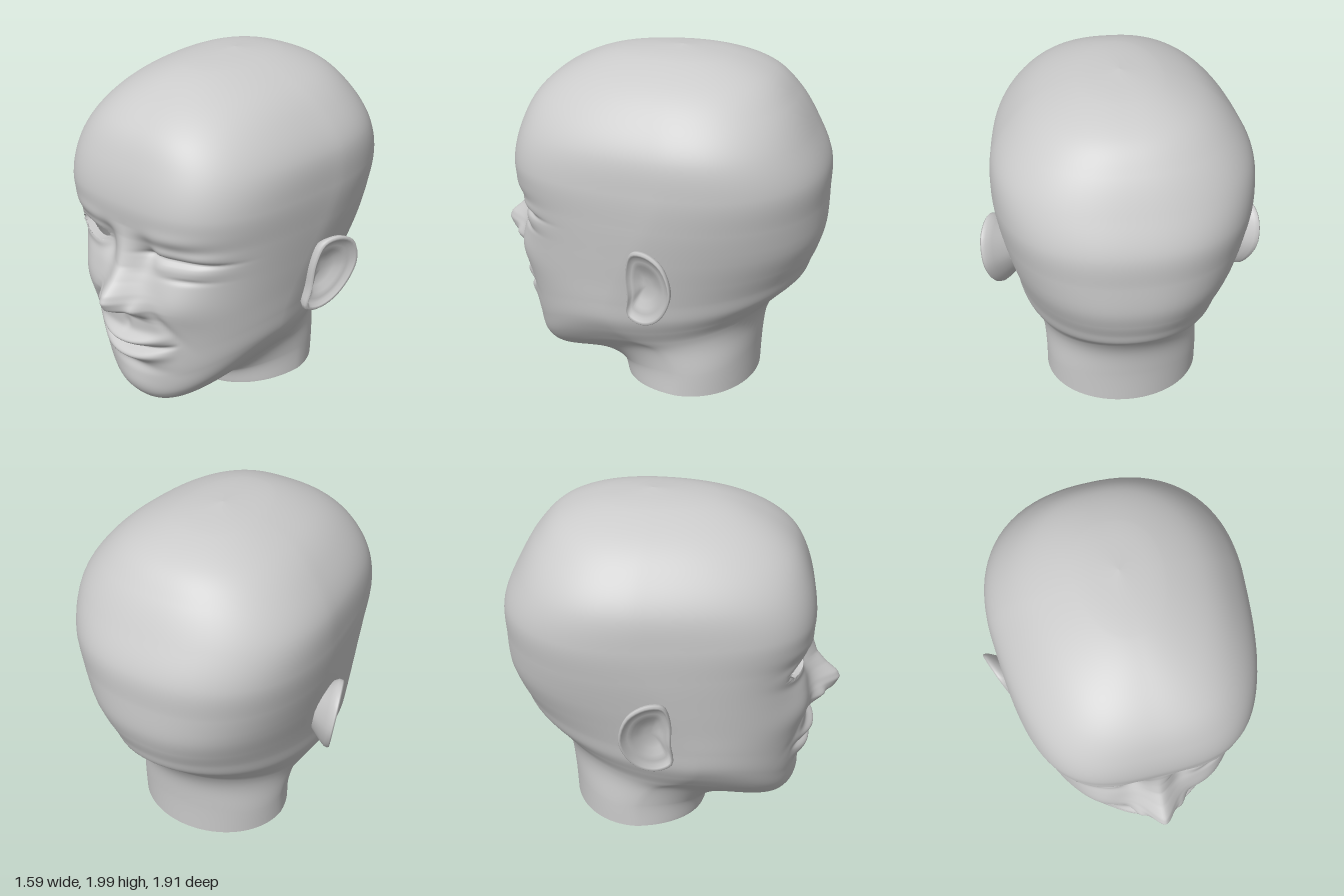
import * as THREE from 'three';

const skin = new THREE.MeshStandardMaterial({ color: 0xcccccc, side: THREE.DoubleSide });

// Tilted head rings, neck to crown: y front, y side, y back, z front, z widest, z back, half width, front squareness
const RINGS = [
  [0.01, 0.05, 0.06, 0.19, -0.20, -0.60, 0.45, 2.2],
  [0.10, 0.20, 0.28, 0.23, -0.20, -0.61, 0.45, 2.2],
  [0.12, 0.33, 0.46, 0.36, -0.12, -0.635, 0.46, 2.2],
  [0.10, 0.40, 0.59, 0.60, 0.02, -0.70, 0.50, 2.2],
  [0.17, 0.48, 0.68, 0.70, 0.10, -0.785, 0.55, 2.2],
  [0.32, 0.57, 0.75, 0.735, 0.13, -0.85, 0.59, 2.2],
  [0.50, 0.69, 0.83, 0.755, 0.12, -0.88, 0.61, 2.3],
  [0.72, 0.82, 0.92, 0.775, 0.07, -0.915, 0.63, 2.5],
  [0.95, 0.98, 1.04, 0.765, 0.00, -0.945, 0.658, 2.8],
  [1.18, 1.18, 1.21, 0.765, -0.10, -0.95, 0.69, 3.2],
  [1.38, 1.38, 1.40, 0.785, -0.17, -0.945, 0.708, 3.5],
  [1.58, 1.58, 1.59, 0.745, -0.18, -0.86, 0.69, 3.2],
  [1.75, 1.75, 1.76, 0.655, -0.16, -0.755, 0.585, 2.9],
  [1.88, 1.88, 1.89, 0.48, -0.13, -0.62, 0.435, 2.6],
  [1.97, 1.97, 1.97, 0.23, -0.12, -0.40, 0.22, 2.3],
  [2.00, 2.00, 2.00, -0.12, -0.12, -0.12, 0, 2.0],
];
const COLS = 144;
const EYE = { x: -0.302, y: 1.112, rx: 0.135, ry: 0.054 };

const bell = (d, s) => Math.exp(-((d / s) ** 2));
const blob = (x, y, cx, cy, sx, sy) => bell(x - cx, sx) * bell(y - cy, sy);
const eyeRadius = (x, y) => Math.hypot((x - EYE.x) / EYE.rx, (y - EYE.y) / EYE.ry);

// Linear look-up in a list of [position, value] pairs
function lookup(points, p) {
  if (p <= points[0][0] || p >= points.at(-1)[0]) return 0;
  const i = points.findIndex(q => q[0] > p);
  const [a, b] = [points[i - 1], points[i]];
  return THREE.MathUtils.lerp(a[1], b[1], (p - a[0]) / (b[0] - a[0]));
}
const NOSE = [[0.71, 0], [0.735, 0.025], [0.765, 0.10], [0.80, 0.16], [0.85, 0.19], [0.89, 0.175],
  [0.95, 0.11], [1.02, 0.055], [1.10, 0.03], [1.18, 0.01], [1.25, 0]];

// Forward relief of the face at a point
function relief(x, y) {
  const ax = Math.abs(x);
  // nose ridge, wings and nostrils
  const width = THREE.MathUtils.clamp(0.125 - (y - 0.80) * 0.25, 0.075, 0.125);
  let d = lookup(NOSE, y) * Math.exp(-((ax / width) ** 1.7));
  d += 0.03 * blob(ax, y, 0.125, 0.80, 0.035, 0.045);
  d -= 0.04 * blob(ax, y, 0.06, 0.762, 0.025, 0.013);
  // eye sockets and brows
  d -= 0.045 * blob(ax, y, 0.14, 1.10, 0.06, 0.09);
  d -= 0.045 * blob(ax, y, 0.30, 1.10, 0.18, 0.10);
  d += 0.015 * blob(ax, y, 0.30, 1.235 + 0.06 * (ax - 0.3), 0.20, 0.05);
  // cheeks and smile folds
  d += 0.03 * blob(ax, y, 0.33, 0.84, 0.13, 0.12);
  d -= 0.013 * bell(ax - (0.17 + (0.82 - y) * 0.65), 0.04) * bell(y - 0.71, 0.11);
  // lopsided lips
  const m = y - (0.51 + 0.07 * x + 0.55 * x * x);
  const lip = Math.max(0, 1 - (x / 0.3) ** 2) ** 1.5;
  d += 0.06 * lip * bell(m - 0.055, 0.035) + 0.05 * lip * bell(m + 0.052, 0.038);
  d -= 0.03 * Math.sqrt(lip) * bell(m, 0.017);
  d -= 0.01 * blob(x, y, 0, 0.66, 0.025, 0.04);
  // chin
  d -= 0.018 * blob(x, y, 0, 0.385, 0.18, 0.04);
  d += 0.015 * blob(x, y, 0, 0.24, 0.14, 0.08);
  if (x > 0) {
    // closed winking eye
    const span = Math.exp(-(((x - 0.32) / 0.21) ** 4));
    d += span * (0.022 * bell(y - 1.145, 0.035) + 0.02 * bell(y - 1.06, 0.04) - 0.024 * bell(y - 1.105, 0.014));
    d -= 0.012 * blob(x, y, 0.36, 1.0, 0.1, 0.015);
  } else {
    // lids round the open eye
    d += 0.014 * bell(eyeRadius(x, y) - 1.1, 0.5);
  }
  return d;
}

function catmull(a, b, c, d, t) {
  return 0.5 * (2 * b + (c - a) * t + (2 * a - 5 * b + 4 * c - d) * t * t + (3 * b - a - 3 * c + d) * t ** 3);
}

// Smooth the ring table into closely spaced rows
function makeRows() {
  const rows = [];
  const at = i => RINGS[THREE.MathUtils.clamp(i, 0, RINGS.length - 1)];
  for (let i = 0; i < RINGS.length - 1; i++) {
    const n = Math.ceil(Math.abs(at(i + 1)[0] - at(i)[0]) / 0.009) + 3;
    for (let k = 0; k < n; k++)
      rows.push(at(i).map((_, q) => catmull(at(i - 1)[q], at(i)[q], at(i + 1)[q], at(i + 2)[q], k / n)));
  }
  rows.push(at(RINGS.length - 1));
  return rows;
}

function headPoint([yF, yS, yB, zF, zC, zB, w, nF], theta) {
  const s = Math.sin(theta), c = Math.cos(theta);
  const n = c > 0 ? nF : 2 + 0.35 * THREE.MathUtils.smoothstep(yB, 0.6, 1.1);
  const r = (Math.abs(s) ** n + Math.abs(c) ** n) ** (-1 / n);
  const k = r * c;
  // sides taper towards the face
  let x = w * r * s * (1 - 0.1 * Math.max(0, k));
  let y = yS + ((k > 0 ? yF : yB) - yS) * k * k;
  let z = zC + k * (k > 0 ? zF - zC : zC - zB);
  let onRim = false;
  if (z > 0.25 && y < 1.6 && zF > 0.55) {
    const e = eyeRadius(x, y);
    if (Math.abs(e - 1) < 0.12) {
      x = EYE.x + (x - EYE.x) / e;
      y = EYE.y + (y - EYE.y) / e;
      onRim = true;
    }
    z += relief(x, y) * THREE.MathUtils.smoothstep(z, 0.25, 0.5);
  }
  return { p: [x, y, z], onRim };
}

function makeGeometry(positions, index) {
  const g = new THREE.BufferGeometry();
  g.setAttribute('position', new THREE.Float32BufferAttribute(positions, 3));
  g.setIndex(index);
  g.computeVertexNormals();
  return g;
}

// Quads between closed loops of equal length
function loopIndex(loops, n, keep = () => true) {
  const index = [];
  for (let j = 0; j < loops - 1; j++) for (let i = 0; i < n; i++) {
    const a = j * n + i, b = j * n + (i + 1) % n;
    for (const tri of [[a, b, b + n], [a, b + n, a + n]]) if (keep(tri)) index.push(...tri);
  }
  return index;
}

function addMesh(group, name, geometry) {
  const mesh = new THREE.Mesh(geometry, skin);
  mesh.name = name;
  group.add(mesh);
  return mesh;
}

// Ear: concentric loops from the back, over the rim, into the hollow
function earGeometry() {
  const outline = new THREE.CatmullRomCurve3([
    [0.01, 0.95], [-0.03, 1.07], [-0.12, 1.09], [-0.215, 1.04], [-0.262, 0.90], [-0.225, 0.76],
    [-0.15, 0.66], [-0.06, 0.62], [0.015, 0.645], [0.01, 0.78],
  ].map(([z, y]) => new THREE.Vector3(0, y, z)), true);
  const loops = [[0.6, -0.12], [0.9, -0.05], [0.99, -0.022], [1, 0], [0.96, 0.01], [0.9, 0.006],
    [0.83, -0.012], [0.72, -0.016], [0.58, -0.025], [0.42, -0.05], [0.2, -0.06], [0, -0.06]];
  const n = 40, positions = [];
  for (const [s, out] of loops) for (let i = 0; i < n; i++) {
    const p = outline.getPoint(i / n);
    const y = 0.86 + (p.y - 0.86) * s, z = -0.1 + (p.z + 0.1) * s;
    positions.push(0.655 - z * 0.37 + (y - 0.7) * 0.14 + out, y, z);
  }
  return makeGeometry(positions, loopIndex(loops.length, n));
}

export function createModel() {
  const group = new THREE.Group();
  group.name = 'head';

  // Skull, face and neck in one skin, with an open eye
  const rows = makeRows(), positions = [], rim = [];
  for (const row of rows) for (let i = 0; i < COLS; i++) {
    const t = -1 + 2 * i / COLS;
    const { p, onRim } = headPoint(row, Math.PI * (0.45 * t + 0.55 * t ** 3));
    positions.push(...p);
    if (onRim) rim.push(p);
  }
  const outsideEye = tri => {
    const mid = k => tri.reduce((sum, v) => sum + positions[v * 3 + k] / 3, 0);
    return mid(2) < 0.3 || eyeRadius(mid(0), mid(1)) > 0.99;
  };
  addMesh(group, 'skullFaceAndNeck', makeGeometry(positions, loopIndex(rows.length, COLS, outsideEye)));

  // Inner edge of the open eyelids
  const angle = p => Math.atan2((p[1] - EYE.y) / EYE.ry, (p[0] - EYE.x) / EYE.rx);
  rim.sort((a, b) => angle(a) - angle(b));
  const inner = rim.map(([x, y, z]) => [EYE.x + (x - EYE.x) * 0.97, EYE.y + (y - EYE.y) * 0.97, z - 0.05]);
  addMesh(group, 'eyelidEdge', makeGeometry([...rim, ...inner].flat(), loopIndex(2, rim.length)));

  // Ears
  const ear = earGeometry();
  addMesh(group, 'leftEar', ear);
  addMesh(group, 'rightEar', ear).scale.x = -1;
  return group;
}
